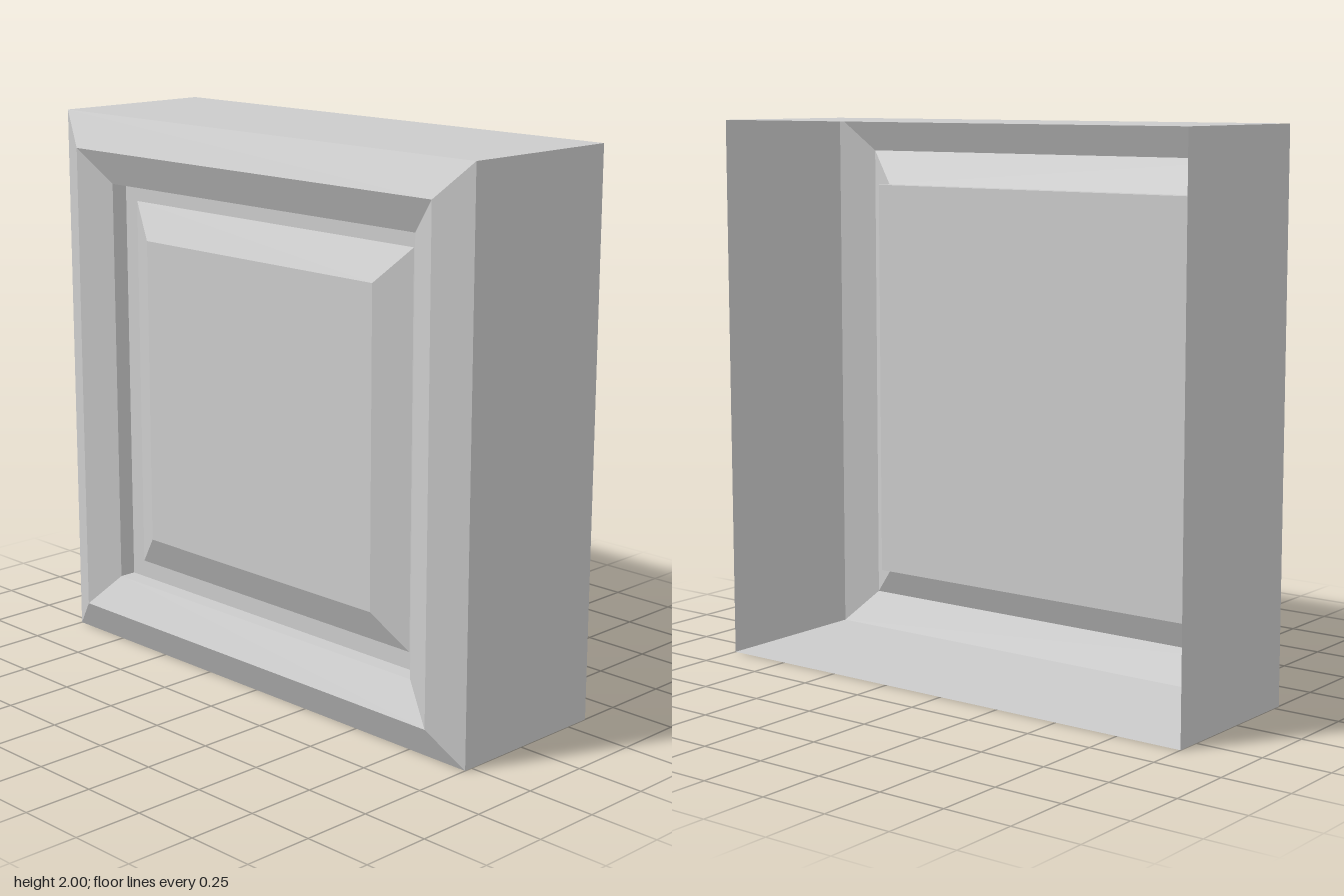
import * as THREE from 'three';

const material = new THREE.MeshStandardMaterial({
  color: 0xcccccc, flatShading: true, side: THREE.DoubleSide,
});

function addPart(group, name, geometry) {
  const mesh = new THREE.Mesh(geometry, material);
  mesh.name = name;
  mesh.position.y = 1;
  group.add(mesh);
}

// Sweeps a profile of [half width, x] points around a square, axis along x
function squareSweep(profile) {
  const points = profile.map(([half, x]) => new THREE.Vector2(half * Math.SQRT2, -x));
  const geometry = new THREE.LatheGeometry(points, 4, Math.PI / 4).toNonIndexed();
  geometry.rotateZ(Math.PI / 2);
  geometry.computeVertexNormals();
  return geometry;
}

// Square sheet facing -x
function squareSheet(half, x) {
  return new THREE.PlaneGeometry(half * 2, half * 2).rotateY(-Math.PI / 2).translate(x, 0, 0);
}

export function createModel() {
  const group = new THREE.Group();
  group.name = 'panelledBox';

  const rim = -0.28125;   // end of the side walls
  const ridge = -0.34375; // crest of the frame
  const floor = -0.21875; // bottom of the recess

  // Walls, open at +x
  addPart(group, 'sideWalls', squareSweep([[1, 0.34375], [1, rim]]));
  // Ridged frame and the step down into the recess
  addPart(group, 'frame', squareSweep([[1, rim], [0.875, ridge], [0.75, rim], [0.75, floor]]));
  addPart(group, 'recessFloor', squareSheet(0.75, floor));
  // Raised panel with bevelled edges
  addPart(group, 'panelBevel', squareSweep([[0.6875, floor], [0.5625, rim]]));
  addPart(group, 'panelFace', squareSheet(0.5625, rim));

  return group;
}
